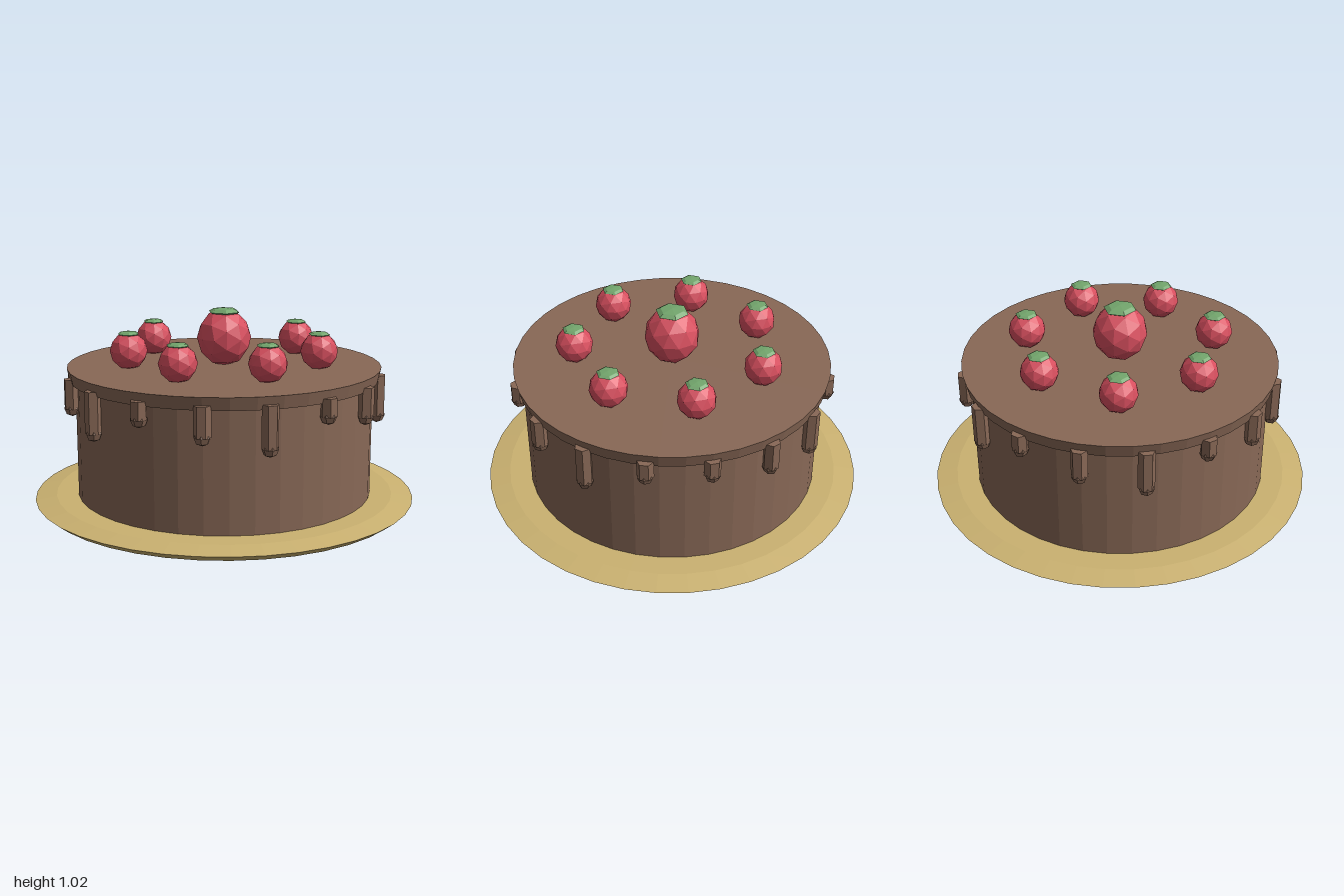
import * as THREE from 'three';

const mat = (name, color) => {
  const m = new THREE.MeshStandardMaterial({ color, flatShading: true });
  m.name = name;
  return m;
};

export function createModel() {
  const gold = mat('gold', 0xcbb271);
  const chocolate = mat('chocolate', 0x886856);
  const red = mat('berry red', 0xd84f5f);
  const green = mat('leaf green', 0x72a56c);

  const cake = new THREE.Group();
  cake.name = 'cake';
  const add = (parent, name, geometry, material, x = 0, y = 0, z = 0) => {
    const mesh = new THREE.Mesh(geometry, material);
    mesh.name = name;
    mesh.position.set(x, y, z);
    parent.add(mesh);
    return mesh;
  };

  // Plate: flared underside, sloping rim, flat top
  const plate = [[0, 0], [0.955, 0], [1, 0.035], [0.89, 0.052], [0, 0.052]]
    .map(([r, y]) => new THREE.Vector2(r, y));
  add(cake, 'plate', new THREE.LatheGeometry(plate, 40), gold);

  // Cake body and the glaze lid that overhangs it
  add(cake, 'cakeBody', new THREE.CylinderGeometry(0.775, 0.775, 0.65, 40), chocolate, 0, 0.375, 0);
  add(cake, 'glaze', new THREE.CylinderGeometry(0.817, 0.803, 0.065, 40), chocolate, 0, 0.693, 0);

  // Sixteen drips in three repeating lengths, each a hexagonal column with a round tip
  const tip = new THREE.SphereGeometry(0.042, 6, 4);
  for (let i = 0; i < 16; i++) {
    const angle = (i / 16) * Math.PI * 2;
    const length = 0.09 + 0.06 * (i % 3);
    const drip = new THREE.Group();
    drip.name = 'drip';
    drip.position.set(Math.cos(angle) * 0.8, 0.685, -Math.sin(angle) * 0.8);
    drip.rotation.y = angle;
    add(drip, 'dripColumn', new THREE.CylinderGeometry(0.042, 0.042, length, 6), chocolate, 0, -length / 2, 0);
    add(drip, 'dripTip', tip, chocolate, 0, -length, 0);
    cake.add(drip);
  }

  // Berries: faceted, slightly tall, with a flat leaf cap
  const fruit = new THREE.IcosahedronGeometry(1, 1);
  const cap = new THREE.SphereGeometry(1, 6, 4);
  const addBerry = (x, z, radius, height) => {
    const berry = new THREE.Group();
    berry.name = 'berry';
    berry.position.set(x, 0.715, z);
    add(berry, 'fruit', fruit, red, 0, height / 2, 0).scale.set(radius, height / 2, radius);
    add(berry, 'leafCap', cap, green, 0, height * 0.945, 0)
      .scale.set(radius * 0.6, height * 0.07, radius * 0.6);
    cake.add(berry);
  };
  addBerry(0, 0, 0.142, 0.3);
  for (let i = 0; i < 7; i++) {
    const angle = (i / 7) * Math.PI * 2;
    addBerry(Math.cos(angle) * 0.5, Math.sin(angle) * 0.5, 0.097, 0.195);
  }

  return cake;
}
